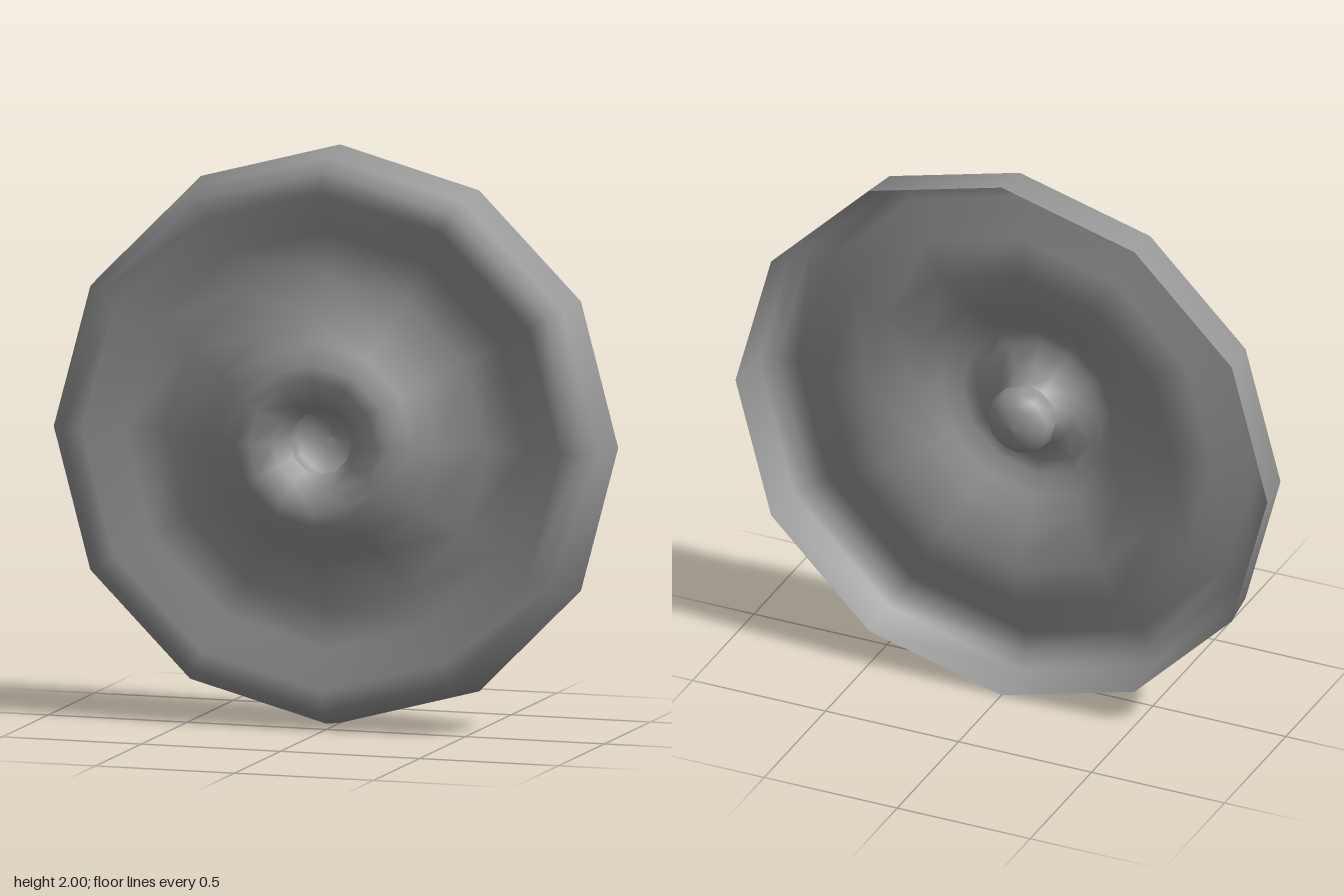
import * as THREE from 'three';

const SIDES = 12;

// Revolve a [radius, z] profile about the z axis
function revolve(name, profile, material) {
  const points = profile.map(([r, z]) => new THREE.Vector2(r, z));
  const geometry = new THREE.LatheGeometry(points, SIDES);
  geometry.rotateX(Math.PI / 2);
  const mesh = new THREE.Mesh(geometry, material);
  mesh.name = name;
  mesh.position.y = 1;
  return mesh;
}

export function createModel() {
  const group = new THREE.Group();
  group.name = 'wheelCover';
  const material = new THREE.MeshStandardMaterial({ color: 0x989898, side: THREE.DoubleSide });

  // Open-backed dish: outer wall, rounded rim, shallow trough, raised hub and funnel
  group.add(revolve('dish', [
    [1, -0.15], [0.98, 0], [0.935, 0.047], [0.86, 0.057],
    [0.72, 0.005], [0.58, -0.005], [0.42, 0.055],
    [0.35, 0.11], [0.28, 0.142], [0.23, 0.15],
    [0.15, 0.125], [0.11, 0.06],
  ], material));

  // Rounded cup closing the central hole, bulging out at the back
  group.add(revolve('centreCup', [
    [0.11, 0.06], [0.122, 0.015], [0.112, -0.02], [0.08, -0.048], [0.04, -0.062], [0, -0.066],
  ], material));

  return group;
}
